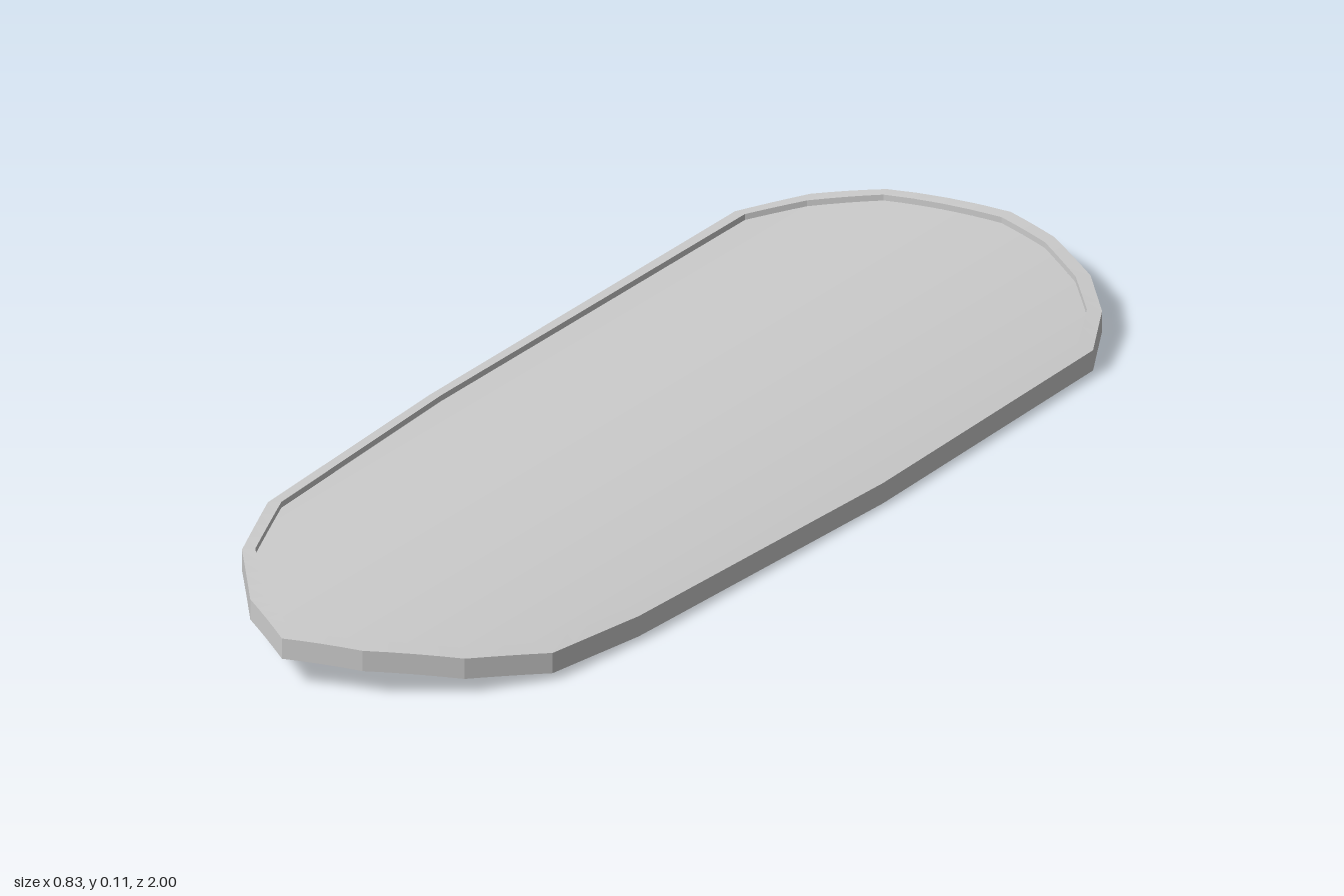
import * as THREE from 'three';

// Outlines as [x, z], clockwise seen from above
const OUTER = [[-0.42, -0.73], [-0.33, -0.84], [-0.21, -0.92], [0.03, -1], [0.14, -1], [0.26, -0.97],
  [0.34, -0.915], [0.4, -0.825], [0.415, -0.23], [0.395, 0.42], [0.37, 0.63], [0.285, 0.78],
  [0.15, 0.915], [0.02, 0.995], [-0.12, 0.93], [-0.27, 0.79], [-0.37, 0.61], [-0.41, 0.12]];
const INNER = [[-0.39, -0.725], [-0.315, -0.815], [-0.2, -0.9], [0.03, -0.975], [0.14, -0.975], [0.245, -0.945],
  [0.32, -0.895], [0.375, -0.81], [0.387, -0.23], [0.37, 0.42], [0.345, 0.62], [0.262, 0.76],
  [0.13, 0.89], [0.02, 0.965], [-0.105, 0.905], [-0.25, 0.775], [-0.345, 0.6], [-0.385, 0.12]];

const TOP = 0.113, FLOOR = 0.1, BOTTOM = 0.068;
const bend = (x) => -0.068 * (x / 0.42) ** 2;

function geometry(positions, index) {
  const g = new THREE.BufferGeometry();
  g.setAttribute('position', new THREE.Float32BufferAttribute(positions, 3));
  if (index) g.setIndex(index);
  g.computeVertexNormals();
  return g;
}

// Outline lifted onto the bent surface, each edge divided so it follows the bend
function loop(outline, height, steps = 4) {
  const points = [];
  outline.forEach(([x, z], i) => {
    const [nx, nz] = outline[(i + 1) % outline.length];
    for (let s = 0; s < steps; s++) {
      const t = s / steps, px = x + (nx - x) * t;
      points.push([px, height + bend(px), z + (nz - z) * t]);
    }
  });
  return points;
}

// Faceted band joining two loops
function band(a, b) {
  const p = [];
  a.forEach((_, i) => {
    const j = (i + 1) % a.length;
    p.push(...a[i], ...a[j], ...b[j], ...a[i], ...b[j], ...b[i]);
  });
  return geometry(p);
}

// Smooth bent panel filling an outline, built from slices across x
function panel(outline, height, up) {
  const xs = outline.map((p) => p[0]);
  const lo = Math.min(...xs), hi = Math.max(...xs);
  for (let i = 1; i < 24; i++) xs.push(lo + (hi - lo) * i / 24);
  const slices = [...new Set(xs)].sort((a, b) => a - b);
  const p = [], index = [];
  slices.forEach((x, i) => {
    const zs = [];
    outline.forEach(([ax, az], k) => {
      const [bx, bz] = outline[(k + 1) % outline.length];
      if (ax === x) zs.push(az);
      if ((ax - x) * (bx - x) < 0) zs.push(az + (bz - az) * (x - ax) / (bx - ax));
    });
    const y = height + bend(x);
    p.push(x, y, Math.min(...zs), x, y, Math.max(...zs));
    if (i === 0) return;
    const a = 2 * i - 2, b = a + 1, c = a + 2, d = a + 3;
    index.push(...(up ? [a, b, d, a, d, c] : [a, d, b, a, c, d]));
  });
  return geometry(p, index);
}

export function createModel() {
  const group = new THREE.Group();
  group.name = 'shield';
  const grey = new THREE.MeshStandardMaterial({ color: 0xcccccc });
  grey.name = 'plain grey';
  const add = (name, geo) => {
    const mesh = new THREE.Mesh(geo, grey);
    mesh.name = name;
    group.add(mesh);
  };

  const floorEdge = loop(INNER, FLOOR), rimInner = loop(INNER, TOP);
  const rimOuter = loop(OUTER, TOP), backEdge = loop(OUTER, BOTTOM);

  add('recessedFace', panel(INNER, FLOOR, true));
  add('recessWall', band(floorEdge, rimInner));
  add('rimTop', band(rimInner, rimOuter));
  add('outerEdge', band(rimOuter, backEdge));
  add('backFace', panel(OUTER, BOTTOM, false));
  return group;
}
